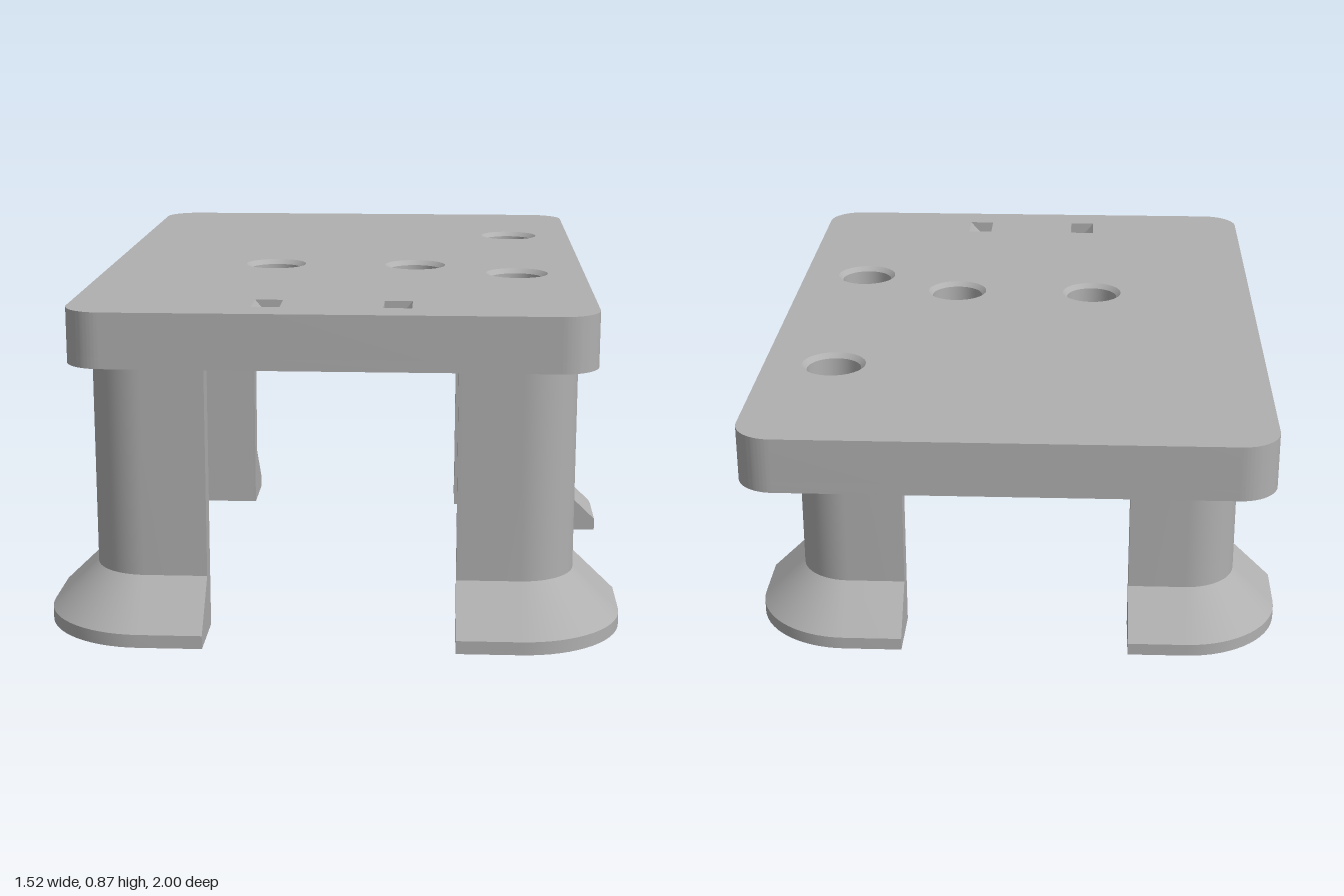
import * as THREE from 'three';
import { toCreasedNormals } from 'three/addons/utils/BufferGeometryUtils.js';

const grey = new THREE.MeshStandardMaterial({ color: 0xb0b0b0, side: THREE.DoubleSide });
grey.name = 'grey';

const TOP = 0.865, UNDER = 0.72, FLOOR = 0.75;

function roundedOutline(x0, x1, z0, z1, r) {
  const s = new THREE.Shape();
  s.absarc(x1 - r, z1 - r, r, 0, Math.PI / 2);
  s.absarc(x0 + r, z1 - r, r, Math.PI / 2, Math.PI);
  s.absarc(x0 + r, z0 + r, r, Math.PI, Math.PI * 1.5);
  s.absarc(x1 - r, z0 + r, r, Math.PI * 1.5, Math.PI * 2);
  s.closePath();
  return s;
}

// Slab between two heights; the shape is drawn in (x, -z)
function slab(shape, y0, y1) {
  const g = new THREE.ExtrudeGeometry(shape, { depth: y1 - y0, bevelEnabled: false, curveSegments: 16 });
  g.rotateX(-Math.PI / 2).translate(0, y0, 0);
  return toCreasedNormals(g, 0.5);
}

// L-shaped corner leg with a flared foot, lofted through horizontal sections
function legGeometry(sx, sz, cx, cz) {
  const steps = 16, inner = 0.085;
  const line = r => {
    const pts = [[-0.165, r]];
    for (let i = 0; i <= steps; i++) {
      const a = Math.PI / 2 * (1 - i / steps);
      pts.push([r * Math.cos(a), r * Math.sin(a)]);
    }
    pts.push([r, -0.17]);
    return pts;
  };
  const levels = [[0, 0.27], [0.035, 0.27], [0.155, 0.145], [UNDER, 0.145]];
  const half = steps + 3, n = half * 2;
  const pos = [], idx = [];
  for (const [y, r] of levels) {
    for (const [x, z] of [...line(r), ...line(inner).reverse()]) {
      pos.push(sx * (cx + x), y, sz * (cz + z));
    }
  }
  const quad = (a, b, c, d) => {
    if (sx * sz > 0) idx.push(a, b, c, a, c, d);
    else idx.push(a, c, b, a, d, c);
  };
  for (let k = 0; k < levels.length - 1; k++) {
    for (let i = 0; i < n; i++) {
      const j = (i + 1) % n;
      quad(k * n + i, k * n + j, (k + 1) * n + j, (k + 1) * n + i);
    }
  }
  // Sole and top end
  const t = (levels.length - 1) * n;
  for (let i = 0; i < half - 1; i++) {
    const a = i, b = i + 1, c = n - 2 - i, d = n - 1 - i;
    quad(d, c, b, a);
    quad(t + a, t + b, t + c, t + d);
  }
  const g = new THREE.BufferGeometry();
  g.setAttribute('position', new THREE.Float32BufferAttribute(pos, 3));
  g.setIndex(idx);
  return toCreasedNormals(g, 0.5);
}

export function createModel() {
  const model = new THREE.Group();
  const add = (name, geometry) => {
    const m = new THREE.Mesh(geometry, grey);
    m.name = name;
    model.add(m);
    return m;
  };

  // Table top: plain lower layer, pierced upper layer
  const outline = () => roundedOutline(-0.68, 0.68, -0.94, 1, 0.1);
  add('plateBase', slab(outline(), UNDER, FLOOR));
  const pierced = outline();
  const holes = [[0.49, -0.485], [0.49, 0.27], [-0.205, 0.135], [0.2, 0.135]];
  for (const [x, z] of holes) {
    pierced.holes.push(new THREE.Path().absarc(x, -z, 0.087, 0, Math.PI * 2, true));
  }
  const slotIn = 0.132, slotOut = 0.205, slotZ0 = 0.735, slotZ1 = 0.84;
  for (const s of [1, -1]) {
    pierced.holes.push(new THREE.Path([
      [slotIn, -slotZ0], [slotOut, -slotZ0], [slotOut, -slotZ1], [slotIn, -slotZ1],
    ].map(([x, y]) => new THREE.Vector2(s * x, y))));
  }
  add('plateTop', slab(pierced, FLOOR, TOP));

  // Chamfered linings of the round sockets
  const lining = [[0.074, FLOOR], [0.074, TOP - 0.013], [0.087, TOP]].map(p => new THREE.Vector2(...p));
  const liningGeometry = toCreasedNormals(new THREE.LatheGeometry(lining, 32), 0.5);
  for (const [x, z] of holes) add('socketLining', liningGeometry).position.set(x, 0, z);

  // Curved ramps inside the two strap slots
  for (const s of [1, -1]) {
    const R = 0.26, pts = [];
    for (let i = 0; i <= 8; i++) {
      const x = slotOut + (slotIn - slotOut) * i / 8;
      pts.push(new THREE.Vector2(s * x, TOP + 0.16 - Math.sqrt(R * R - x * x)));
    }
    pts.push(new THREE.Vector2(s * slotIn, FLOOR), new THREE.Vector2(s * slotOut, FLOOR));
    const g = new THREE.ExtrudeGeometry(new THREE.Shape(pts), { depth: slotZ1 - slotZ0, bevelEnabled: false });
    add('slotRamp', toCreasedNormals(g.translate(0, 0, slotZ0), 0.5));
  }

  // Four legs with flared feet
  for (const sx of [1, -1]) {
    add('frontLeg', legGeometry(sx, 1, 0.49, 0.73));
    add('rearLeg', legGeometry(sx, -1, 0.49, 0.255));
  }
  return model;
}
